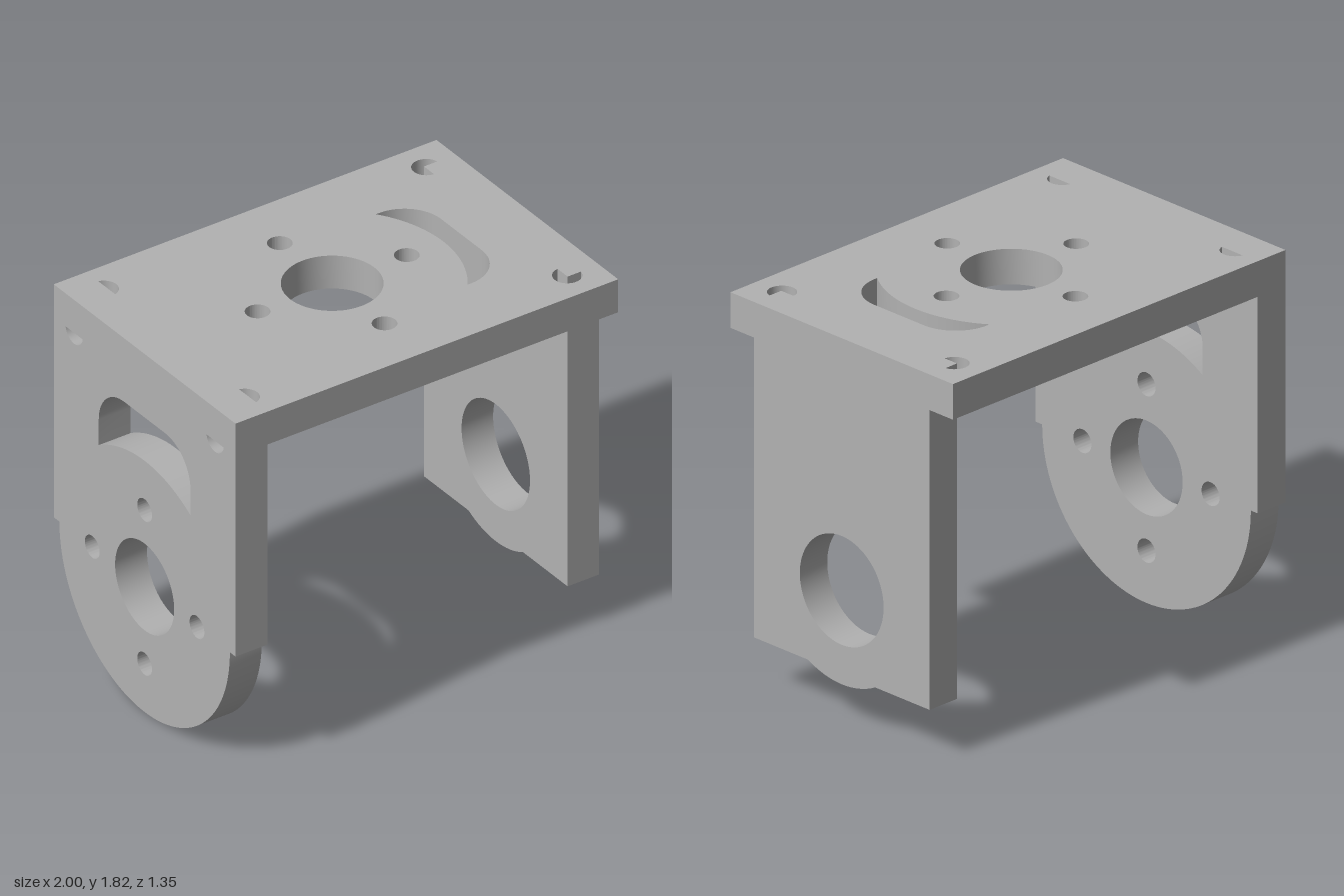
import * as THREE from 'three';
import { toCreasedNormals } from 'three/addons/utils/BufferGeometryUtils.js';

const THICK = 0.167, UNDERSIDE = 1.65, AXIS = 0.635;
const metal = new THREE.MeshStandardMaterial({ color: 0xb2b2b2 });
metal.name = 'plain grey';

const round = (x, y, r) => new THREE.Path().absarc(x, y, r, 0, Math.PI * 2, false);

// Points along an arc, both ends included
function arc(x, y, r, from, to, n = 16) {
  return Array.from({ length: n + 1 }, (_, i) => {
    const a = from + (to - from) * i / n;
    return new THREE.Vector2(x + r * Math.cos(a), y + r * Math.sin(a));
  });
}

// Central bore with four screw holes around it
function boltCircle(shape, x, y) {
  shape.holes.push(round(x, y, 0.22));
  for (const [dx, dy] of [[1, 0], [-1, 0], [0, 1], [0, -1]]) {
    shape.holes.push(round(x + dx * 0.39, y + dy * 0.39, 0.055));
  }
}

// Window with a curved inner edge and a flat, round-cornered outer edge, opening along +x
function slotPoints(inner, outer, half = 0.342, corner = 0.19) {
  const a = Math.asin(half / inner);
  return [
    ...arc(0, 0, inner, a, -a, 28),
    ...arc(outer - corner, corner - half, corner, -Math.PI / 2, 0),
    ...arc(outer - corner, half - corner, corner, 0, Math.PI / 2),
  ];
}

function slab(name, shape, depth) {
  const flat = new THREE.ExtrudeGeometry(shape, { depth, bevelEnabled: false, curveSegments: 40 });
  const mesh = new THREE.Mesh(toCreasedNormals(flat, 0.5), metal);
  mesh.name = name;
  return mesh;
}

function topPlate() {
  const s = new THREE.Shape([[-1, -0.677], [1, -0.677], [1, 0.677], [-1, 0.677]].map(p => new THREE.Vector2(...p)));
  boltCircle(s, -0.02, 0);
  s.holes.push(new THREE.Path(slotPoints(0.58, 0.675).map(p => new THREE.Vector2(p.x - 0.02, p.y))));
  // Corner relief holes, partly filled by the wall and the leg
  const chord = Math.acos(0.015 / 0.065);
  for (const side of [1, -1]) {
    s.holes.push(new THREE.Path(arc(-0.845, side * 0.525, 0.065, -chord, chord)));
    const notch = [
      new THREE.Vector2(0.835, 0.535),
      ...arc(0.84, 0.525, 0.065, 0.154, Math.PI * 1.5 - 0.077, 24),
    ];
    s.holes.push(new THREE.Path(notch.map(p => new THREE.Vector2(p.x, p.y * side))));
  }
  const mesh = slab('topPlate', s, THICK);
  mesh.rotation.x = -Math.PI / 2;
  mesh.position.y = UNDERSIDE;
  return mesh;
}

function roundedWall() {
  // Round lower end, shoulders and half-round reliefs in the top edge
  const a = 0.154;
  const relief = x => arc(x, UNDERSIDE + 0.01, 0.065, -a, a - Math.PI, 14);
  const s = new THREE.Shape([
    ...arc(0, AXIS, 0.635, Math.PI, Math.PI * 2, 64),
    new THREE.Vector2(0.677, AXIS),
    new THREE.Vector2(0.677, UNDERSIDE),
    ...relief(0.525),
    ...relief(-0.525),
    new THREE.Vector2(-0.677, UNDERSIDE),
    new THREE.Vector2(-0.677, AXIS),
  ]);
  boltCircle(s, 0, AXIS);
  s.holes.push(new THREE.Path(slotPoints(0.64, 0.86).map(p => new THREE.Vector2(-p.y, p.x + AXIS))));
  const mesh = slab('roundedWall', s, THICK);
  mesh.rotation.y = Math.PI / 2;
  mesh.position.x = -1;
  return mesh;
}

function narrowLeg() {
  // Straight leg with a shallow lip below the bore
  const foot = 0.245, lip = Math.acos((AXIS - foot) / 0.44);
  const s = new THREE.Shape([
    new THREE.Vector2(-0.535, foot),
    ...arc(0, AXIS, 0.44, -Math.PI / 2 - lip, -Math.PI / 2 + lip),
    new THREE.Vector2(0.535, foot),
    new THREE.Vector2(0.535, UNDERSIDE),
    new THREE.Vector2(-0.535, UNDERSIDE),
  ]);
  s.holes.push(round(0, AXIS, 0.255));
  const mesh = slab('narrowLeg', s, 0.165);
  mesh.rotation.y = Math.PI / 2;
  mesh.position.x = 0.835;
  return mesh;
}

export function createModel() {
  const group = new THREE.Group();
  group.name = 'mountingBracket';
  group.add(topPlate(), roundedWall(), narrowLeg());
  return group;
}
